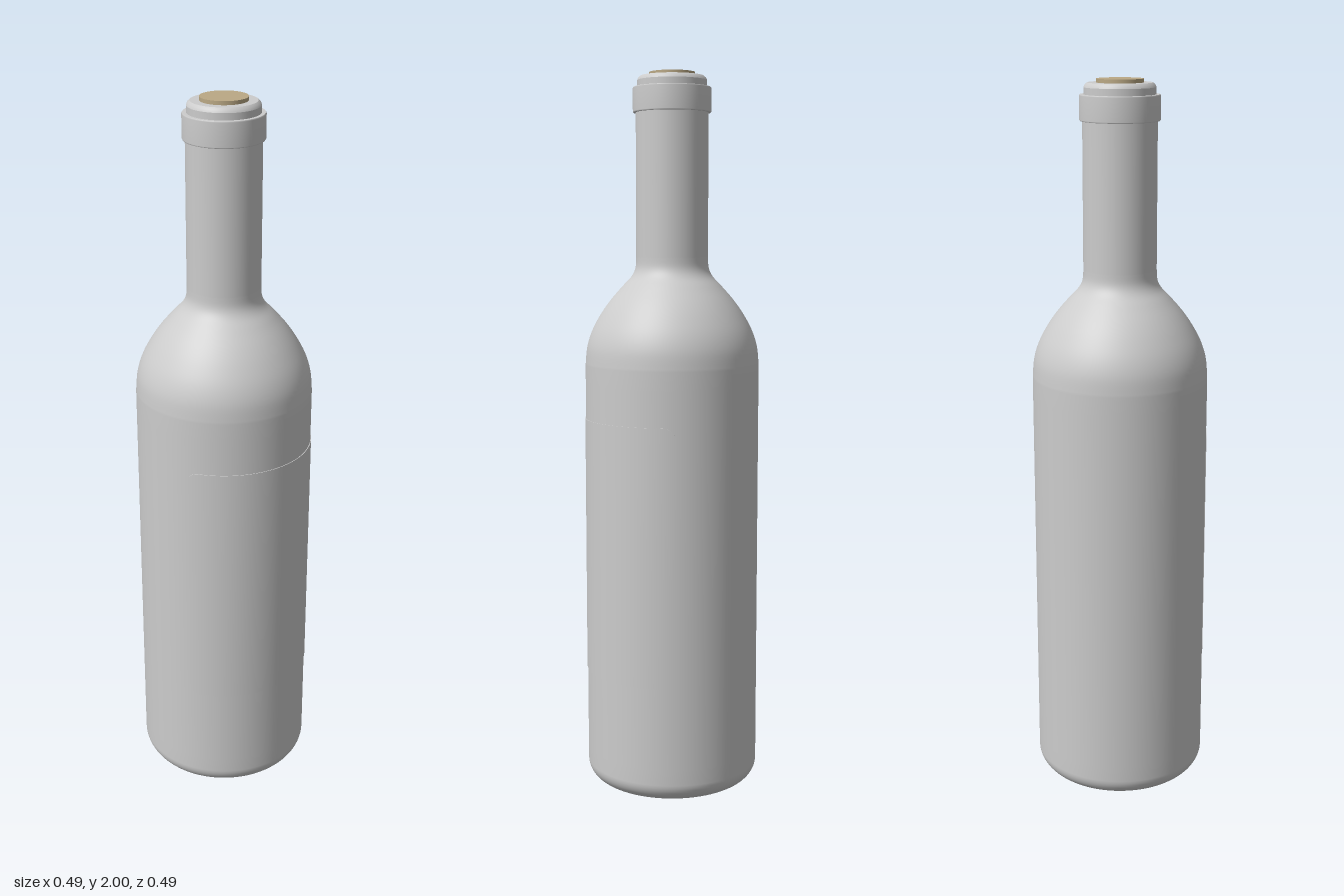
import * as THREE from 'three';
import { toCreasedNormals } from 'three/addons/utils/BufferGeometryUtils.js';

const SEGMENTS = 96;
const v = (x, y) => new THREE.Vector2(x, y);

// Turned part made of several profile runs; each run is smooth, with a sharp edge between runs
function turned(name, runs, material) {
  const group = new THREE.Group();
  group.name = name;
  runs.forEach((points, i) => {
    const mesh = new THREE.Mesh(new THREE.LatheGeometry(points, SEGMENTS), material);
    mesh.name = `${name}Surface${i + 1}`;
    group.add(mesh);
  });
  return group;
}

// Curved sheet with rounded corners and a thin rim, wrapped round the front
function labelGeometry(bodyRadius, radius, halfAngle, y0, y1, corner) {
  const positions = [], index = [], angles = [];
  const cornerAngle = corner / radius;
  for (let i = 0; i <= 8; i++) {
    angles.push(-halfAngle + cornerAngle * (1 - Math.cos((i / 8) * Math.PI / 2)));
  }
  const start = -halfAngle + cornerAngle;
  for (let i = 1; i <= 48; i++) angles.push(start - 2 * start * (i / 48));
  for (let i = 7; i >= 0; i--) angles.push(-angles[i]);

  angles.forEach((a) => {
    const d = Math.max(0, (Math.abs(a) - halfAngle + cornerAngle) / cornerAngle);
    const inset = corner * (1 - Math.sqrt(Math.max(0, 1 - d * d)));
    const rows = [[bodyRadius, y0 + inset], [radius, y0 + inset], [radius, y1 - inset], [bodyRadius, y1 - inset]];
    rows.forEach(([r, y]) => positions.push(r * Math.sin(a), y, r * Math.cos(a)));
  });
  const last = (angles.length - 1) * 4;
  for (let c = 0; c < last; c += 4) {
    for (let k = 0; k < 3; k++) {
      index.push(c + k, c + 4 + k, c + 5 + k, c + k, c + 5 + k, c + 1 + k);
    }
  }
  // side rims
  index.push(0, 1, 2, 0, 2, 3, last, last + 2, last + 1, last, last + 3, last + 2);
  const geometry = new THREE.BufferGeometry();
  geometry.setAttribute('position', new THREE.Float32BufferAttribute(positions, 3));
  geometry.setIndex(index);
  return toCreasedNormals(geometry, 0.6);
}

export function createModel() {
  const glass = new THREE.MeshStandardMaterial({ color: 0xcccccc });
  glass.name = 'pale grey';
  const corkColour = new THREE.MeshStandardMaterial({ color: 0xbba985 });
  corkColour.name = 'cork tan';

  const model = new THREE.Group();
  model.name = 'bottle';
  const R = 0.243;

  // Body: hollowed base, rounded heel, straight wall, shoulder and neck
  const punt = new THREE.SplineCurve([
    v(0, 0.09), v(0.04, 0.082), v(0.09, 0.05), v(0.14, 0.016), v(0.185, 0),
  ]).getPoints(20);
  const heel = [];
  for (let i = 1; i <= 10; i++) {
    const a = (i / 10) * Math.PI / 2;
    heel.push(v(R - 0.058 + 0.058 * Math.sin(a), 0.055 * (1 - Math.cos(a))));
  }
  const shoulder = new THREE.SplineCurve([
    v(R, 1.2), v(0.238, 1.25), v(0.224, 1.295), v(0.2, 1.34), v(0.172, 1.38),
    v(0.139, 1.418), v(0.113, 1.446), v(0.102, 1.47), v(0.1, 1.5),
  ]).getPoints(40);
  model.add(turned('body', [[...punt, ...heel, v(R, 0.1), v(R, 1.15), ...shoulder, v(0.1, 1.9)]], glass));

  // Lip: collar band, stepped mouth and sloping rim
  model.add(turned('lip', [
    [v(0.098, 1.892), v(0.106, 1.892)],
    [v(0.106, 1.892), v(0.108, 1.895), v(0.108, 1.957), v(0.106, 1.96)],
    [v(0.106, 1.96), v(0.096, 1.96)],
    [v(0.096, 1.96), v(0.096, 1.978)],
    [v(0.096, 1.978), v(0.093, 1.985), v(0.087, 1.99)],
    [v(0.087, 1.99), v(0.06, 1.99)],
  ], glass));

  // Cork stopper
  const cork = new THREE.Mesh(new THREE.CylinderGeometry(0.063, 0.063, 0.06, 64), corkColour);
  cork.name = 'cork';
  cork.position.y = 1.97;
  model.add(cork);

  // Blank front label
  const label = new THREE.Mesh(labelGeometry(R - 0.002, R + 0.002, 1.36, 0.33, 1.05, 0.04), glass);
  label.name = 'label';
  model.add(label);

  return model;
}
